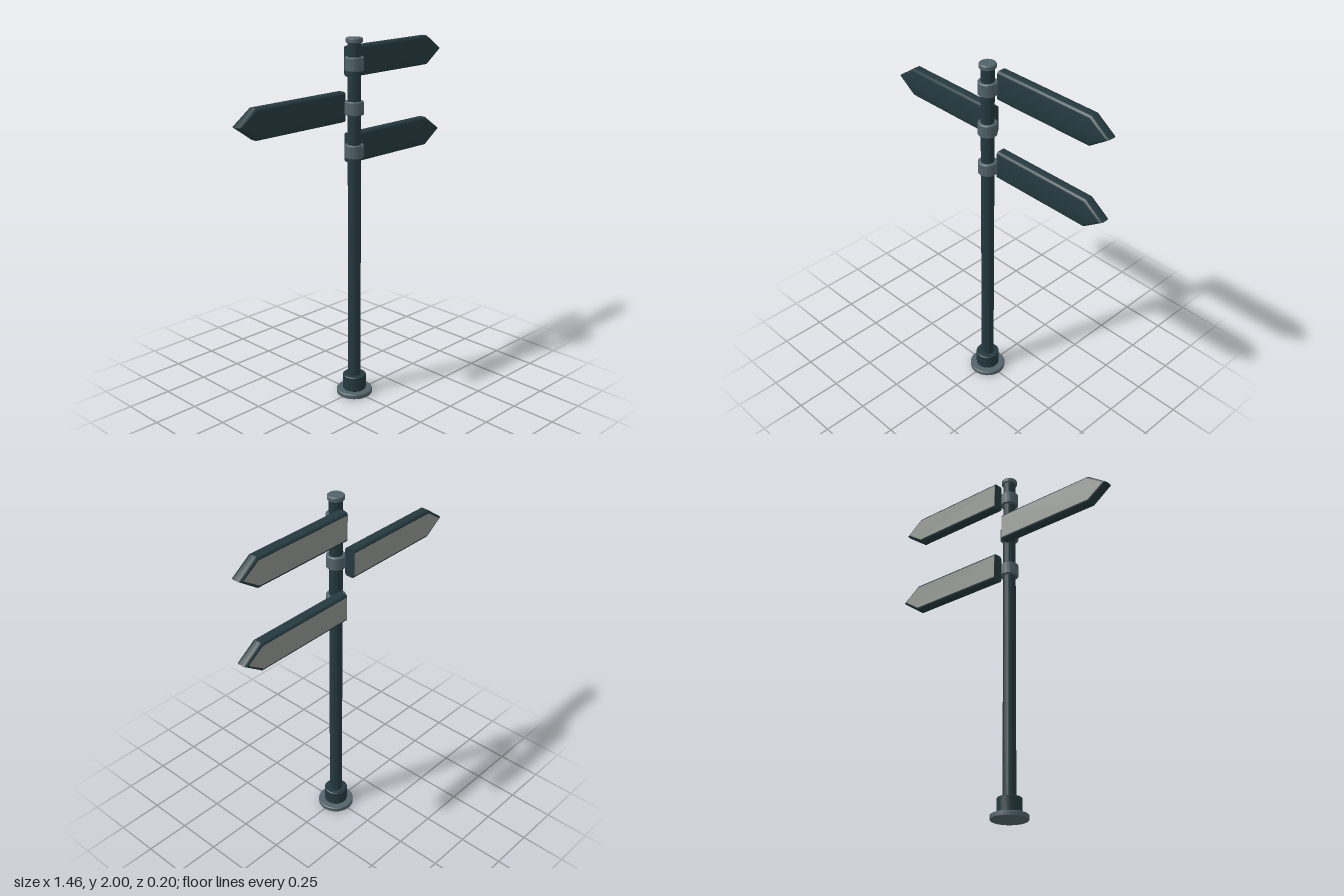
import * as THREE from 'three';
import { toCreasedNormals } from 'three/addons/utils/BufferGeometryUtils.js';

const dark = new THREE.MeshStandardMaterial({ color: 0x24393f });
const metal = new THREE.MeshStandardMaterial({ color: 0x52636a });
const pale = new THREE.MeshStandardMaterial({ color: 0x8c918a });

// Closed lathe ring or disc with a small chamfer on its rims
function turned(name, radius, y0, y1, material, c = 0.004) {
  const profile = [[0, y0], [radius - c, y0], [radius, y0 + c], [radius, y1 - c], [radius - c, y1], [0, y1]];
  const geometry = new THREE.LatheGeometry(profile.map(([x, y]) => new THREE.Vector2(x, y)), 40);
  const mesh = new THREE.Mesh(toCreasedNormals(geometry, 0.5), material);
  mesh.name = name;
  return mesh;
}

// Outline of an arrow board pointing to +x, shrunk by an inset
function arrowShape(x0, inset) {
  const h = 0.08 - inset, shoulder = 0.62 - inset * 0.33, tip = 0.73 - inset * 1.24;
  return new THREE.Shape([[x0, -h], [shoulder, -h], [tip, 0], [shoulder, h], [x0, h]]
    .map(([x, y]) => new THREE.Vector2(x, y)));
}

// Arrow board with rounded rims, cut off square at its inner end
function boardGeometry() {
  const bevel = 0.014, inner = 0.025;
  const geometry = new THREE.ExtrudeGeometry(arrowShape(0.02, bevel), {
    depth: 0.06 - 2 * bevel, bevelSize: bevel, bevelThickness: bevel, bevelSegments: 3,
  });
  geometry.translate(0, 0, -0.1 + bevel);
  const p = geometry.attributes.position;
  for (let i = 0; i < p.count; i++) if (p.getX(i) < 0.05) p.setX(i, inner);
  return toCreasedNormals(geometry, 0.6);
}

export function createModel() {
  const model = new THREE.Group();
  model.name = 'signpost';

  // Foot, post and cap
  model.add(
    turned('baseFlange', 0.1, 0, 0.028, metal),
    turned('baseSleeve', 0.065, 0.028, 0.115, dark),
    turned('post', 0.035, 0.1, 1.98, dark),
    turned('cap', 0.044, 1.974, 2, metal),
  );

  // Three boards, each with a clamp; the middle one points the other way
  const board = boardGeometry();
  const panel = new THREE.ShapeGeometry(arrowShape(0.026, 0.015));
  panel.rotateX(Math.PI); // face the back
  panel.translate(0, 0, -0.101);

  [[1.867, 1], [1.638, -1], [1.408, 1]].forEach(([y, side], i) => {
    const sign = new THREE.Group();
    sign.name = 'sign' + (i + 1);
    sign.position.y = y;

    const arrow = new THREE.Group();
    arrow.name = 'arrowBoard';
    const body = new THREE.Mesh(board, dark);
    body.name = 'boardBody';
    const back = new THREE.Mesh(panel, pale);
    back.name = 'backPanel';
    arrow.add(body, back);
    arrow.scale.x = side;

    sign.add(turned('clamp', 0.05, -0.036, 0.036, metal), arrow);
    model.add(sign);
  });
  return model;
}
